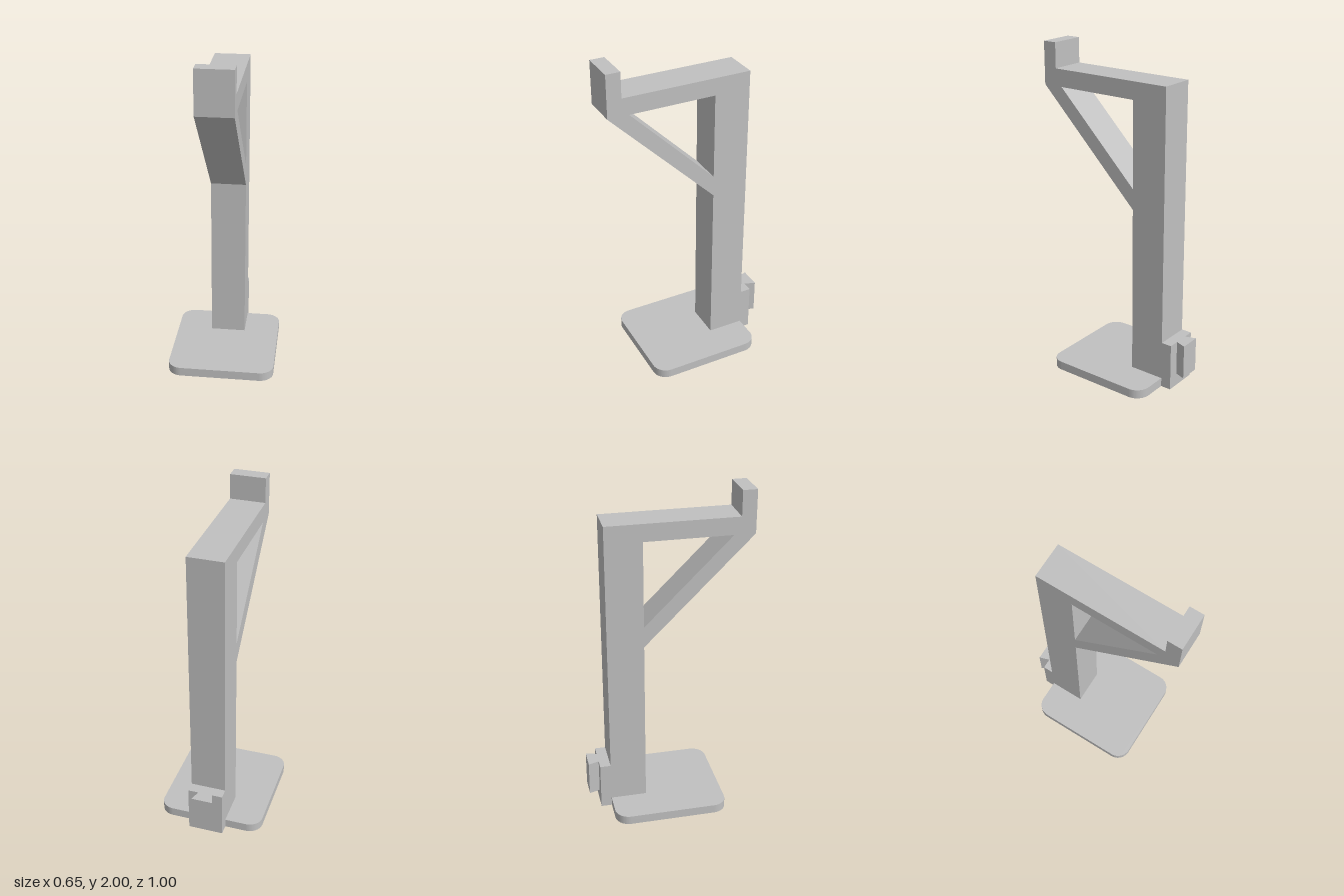
import * as THREE from 'three';
import { toCreasedNormals } from 'three/addons/utils/BufferGeometryUtils.js';

const BASE_HEIGHT = 0.055;

function polygon(points) {
  return new THREE.Shape(points.map(([x, y]) => new THREE.Vector2(x, y)));
}

function extrude(shape, depth) {
  return new THREE.ExtrudeGeometry(shape, { depth, bevelEnabled: false, curveSegments: 12 });
}

// Plan outline in (x, -z), raised from y0 by height
function plate(shape, y0, height) {
  return extrude(shape, height).rotateX(-Math.PI / 2).translate(0, y0, 0);
}

function roundedRect(x0, y0, x1, y1, r) {
  const s = new THREE.Shape();
  s.absarc(x1 - r, y0 + r, r, -Math.PI / 2, 0);
  s.absarc(x1 - r, y1 - r, r, 0, Math.PI / 2);
  s.absarc(x0 + r, y1 - r, r, Math.PI / 2, Math.PI);
  s.absarc(x0 + r, y0 + r, r, Math.PI, Math.PI * 1.5);
  s.closePath();
  return s;
}

export function createModel() {
  const group = new THREE.Group();
  const grey = new THREE.MeshStandardMaterial({ color: 0xc0c0c0 });
  grey.name = 'light grey';

  const add = (name, geometry) => {
    const mesh = new THREE.Mesh(geometry, grey);
    mesh.name = name;
    group.add(mesh);
  };

  // Foot plate with rounded corners
  const foot = plate(roundedRect(-0.325, -0.325, 0.325, 0.37, 0.085), 0, BASE_HEIGHT);
  add('footPlate', toCreasedNormals(foot, 0.6));

  // Side profile in (z, y): post, arm, hook lip, diagonal brace and rear block
  const profile = polygon([
    [-0.435, 0], [-0.15, 0], [-0.15, 1.093], [0.5, 1.743], [0.5, 2],
    [0.414, 2], [0.414, 1.848], [-0.37, 1.848], [-0.37, 0.295], [-0.435, 0.295],
  ]);
  // Triangular opening between post, arm and brace
  profile.holes.push(polygon([[-0.15, 1.22], [-0.15, 1.743], [0.373, 1.743]]));
  const width = 0.215;
  add('postArmAndBrace', extrude(profile, width).translate(0, 0, -width / 2).rotateY(-Math.PI / 2));

  // Dovetail tongue on the rear block
  const tongue = polygon([[-0.043, 0.435], [0.043, 0.435], [0.065, 0.5], [-0.065, 0.5]]);
  add('dovetailTongue', plate(tongue, 0.08, 0.215));

  return group;
}
